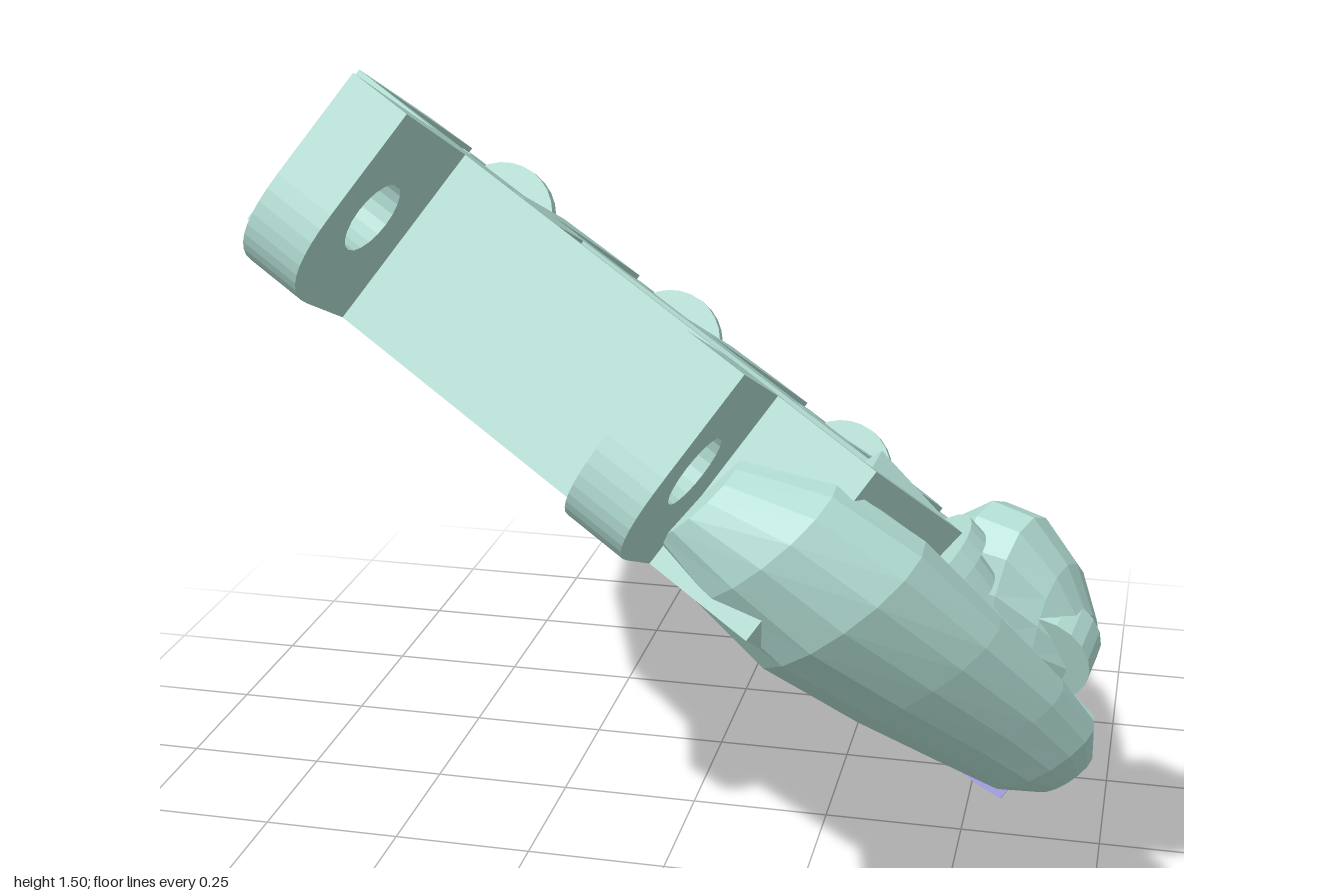
import * as THREE from 'three';

const shell = new THREE.MeshStandardMaterial({ color: 0xb2ddd3 });
shell.name = 'mint shell';
shell.flatShading = true;
const pad = new THREE.MeshStandardMaterial({ color: 0x9a94d8 });
pad.name = 'violet pad';
pad.flatShading = true;

const V3 = (a) => new THREE.Vector3(...a);
const BOTTOM = 0.42, TOP = 0.725, PIN = 0.555;

function add(parent, name, geometry, material = shell) {
  const mesh = new THREE.Mesh(geometry, material);
  mesh.name = name;
  parent.add(mesh);
  return mesh;
}

const polygon = (points) => new THREE.Shape(points.map((p) => new THREE.Vector2(...p)));

function circleHole(x, y, r) {
  const hole = new THREE.Path();
  hole.absarc(x, y, r, 0, Math.PI * 2, true);
  return hole;
}

// Extrudes a side profile (length, height) across the palm width, centred on u
function sidePlate(shape, u, thickness, bevel = 0) {
  const depth = thickness - 2 * bevel;
  const geometry = new THREE.ExtrudeGeometry(shape, {
    depth, curveSegments: 10, bevelEnabled: bevel > 0,
    bevelSize: bevel, bevelThickness: bevel, bevelOffset: -bevel, bevelSegments: 2,
  });
  geometry.translate(0, 0, -depth / 2);
  geometry.applyMatrix4(new THREE.Matrix4().makeBasis(V3([0, 1, 0]), V3([0, 0, 1]), V3([1, 0, 0])));
  return geometry.translate(u, 0, 0);
}

// Lofts ellipses [centre, radius along p, radius along q] into a closed shell
function loft(sections, p, q, sides = 16) {
  const pos = [], index = [];
  sections.forEach(([c, a, b]) => {
    for (let j = 0; j < sides; j++) {
      const t = (j / sides) * Math.PI * 2;
      pos.push(...V3(c).addScaledVector(p, a * Math.cos(t)).addScaledVector(q, b * Math.sin(t)).toArray());
    }
  });
  const last = sections.length - 1;
  for (let i = 0; i < last; i++) {
    for (let j = 0; j < sides; j++) {
      const k = (j + 1) % sides, lo = i * sides, hi = lo + sides;
      index.push(lo + j, lo + k, hi + j, lo + k, hi + k, hi + j);
    }
  }
  for (let j = 1; j < sides - 1; j++) {
    index.push(0, j + 1, j, last * sides, last * sides + j, last * sides + j + 1);
  }
  const geometry = new THREE.BufferGeometry();
  geometry.setAttribute('position', new THREE.Float32BufferAttribute(pos, 3));
  geometry.setIndex(index);
  geometry.computeVertexNormals();
  return geometry;
}

// Fork cheek: tall at the palm, rounded around the pin
function cheekShape(v, reach, back) {
  const r = 0.105, s = new THREE.Shape();
  s.moveTo(v - back, BOTTOM + 0.01);
  s.lineTo(v - 0.16, BOTTOM + 0.01);
  s.lineTo(v + reach, PIN - r);
  s.absarc(v + reach, PIN, r, -Math.PI / 2, Math.PI * 0.42, false);
  s.quadraticCurveTo(v - 0.06, 0.69, v - 0.16, TOP - 0.01);
  s.lineTo(v - back, TOP - 0.01);
  s.holes.push(circleHole(v + reach, PIN, 0.028));
  return s;
}

function washerShape(v) {
  const s = new THREE.Shape();
  s.absarc(v, PIN, 0.085, 0, Math.PI * 2, false);
  s.holes.push(circleHole(v, PIN, 0.032));
  return s;
}

function knuckle(palm, name, u, hubV) {
  const g = new THREE.Group();
  g.name = name;
  palm.add(g);
  const pinV = hubV + 0.215;
  for (const [side, reach, back] of [[-1, 0.01, 0.32], [1, -0.015, 0.2]]) {
    add(g, 'forkCheek', sidePlate(cheekShape(pinV, reach, back), u + side * 0.105, 0.095, 0.024));
    add(g, 'pinWasher', sidePlate(washerShape(pinV + reach), u + side * 0.053, 0.02));
  }
  // Hub disc, its seat, and the sloping drive block that floors the slot end
  add(g, 'hubDisc', new THREE.CylinderGeometry(0.105, 0.105, 0.03, 28)).position.set(u + 0.015, hubV - 0.01, 0.655);
  add(g, 'hubSeat', new THREE.CylinderGeometry(0.075, 0.09, 0.06, 20)).position.set(u + 0.015, hubV + 0.02, 0.63);
  add(g, 'driveBlock', sidePlate(polygon([[hubV - 0.24, BOTTOM], [hubV + 0.03, BOTTOM], [hubV + 0.03, 0.62],
    [hubV - 0.04, 0.64], [hubV - 0.1, 0.56], [hubV - 0.24, 0.46]]), u + 0.01, 0.24));
}

// Comb-shaped palm frame with finger slots, a thumb well and screw holes
function buildPalm(palm) {
  const outline = polygon([[-1.08, -0.785], [-0.857, -0.92], [-0.85, -1.04], [0.03, -1.04], [0.2, -0.52],
    [0.26, 0.1], [0.25, 0.26], [0.22, 0.26],
    [0.175, -0.5], [-0.125, -0.44], [0.0, 0.24], [-0.03, 0.36], [-0.115, 0.4],
    [-0.145, -0.34], [-0.445, -0.36], [-0.37, 0.4], [-0.44, 0.36], [-0.5, 0.22], [-0.52, 0.18],
    [-0.46, -0.5], [-0.745, -0.534], [-0.765, 0.2], [-0.82, 0.16], [-0.9, 0],
    [-0.743, -0.73], [-1.055, -0.78], [-1.13, -0.02], [-1.14, -0.02], [-1.17, -0.2]]);
  const well = [[-0.63, -0.69], [0.13, -0.55], [0.0, -1.0], [-0.58, -1.0]];
  outline.holes.push(new THREE.Path(well.map((p) => new THREE.Vector2(...p))));
  [[-0.69, -0.6], [-0.22, -0.5], [-0.69, -0.93]].forEach(([x, y]) => outline.holes.push(circleHole(x, y, 0.018)));
  add(palm, 'palmFrame', new THREE.ExtrudeGeometry(outline, { depth: TOP - BOTTOM, bevelEnabled: false, curveSegments: 6 }))
    .position.z = BOTTOM;

  // Small clips on the slot walls
  [[-0.83, -0.46], [-0.495, -0.22], [-0.142, -0.05], [0.185, -0.22]].forEach(([x, y]) =>
    add(palm, 'slotClip', new THREE.BoxGeometry(0.03, 0.07, 0.04)).position.set(x, y, 0.57));

  // Wrist lugs with a cross hole and a rounded lower corner
  for (const u of [-0.8, -0.2]) {
    const s = new THREE.Shape();
    s.moveTo(-0.98, TOP);
    s.lineTo(-1.315, TOP);
    s.lineTo(-1.315, 0.55);
    s.quadraticCurveTo(-1.315, BOTTOM, -1.19, BOTTOM);
    s.lineTo(-0.98, BOTTOM);
    s.holes.push(circleHole(-1.185, 0.575, 0.058));
    add(palm, 'wristLug', sidePlate(s, u, 0.1));
  }

  [['outerFinger', -1.025, 0.03], ['ringFinger', -0.655, 0.25], ['middleFinger', -0.25, 0.457], ['indexFinger', 0.11, 0.3]]
    .forEach(([name, u, v]) => knuckle(palm, name, u, v));

  // Webs filling the steps between neighbouring fingers
  [[-0.84, 0.1], [-0.45, 0.32], [-0.07, 0.42]].forEach(([u, v]) =>
    add(palm, 'fingerWeb', new THREE.BoxGeometry(0.1, 0.22, 0.2)).position.set(u, v, 0.56));

  // Violet stop plate under the thumb, with a curved lower edge
  const s = new THREE.Shape();
  s.moveTo(-0.1, 0.02);
  s.quadraticCurveTo(0, -0.02, 0.105, 0);
  s.lineTo(0.105, 0.125);
  s.lineTo(-0.1, 0.125);
  const plate = new THREE.ExtrudeGeometry(s, { depth: 0.04, bevelEnabled: false, curveSegments: 5 });
  plate.applyMatrix4(new THREE.Matrix4().makeBasis(V3([1, 0, 0]), V3([0, 0, 1]), V3([0, -1, 0])));
  add(palm, 'stopPlate', plate, pad).position.set(0.335, -0.465, 0.42);
}

// Thumb mount: two smooth lobes, a hub and its drive block
function buildThumb(thumb) {
  const d = V3([0.67, -0.74, -0.1]).normalize();
  const p = V3([0.1, -0.58, 0.81]);
  p.addScaledVector(d, -p.dot(d)).normalize();
  const q = d.clone().cross(p);
  add(thumb, 'frontLobe', loft([
    [[0.16, 0.9, 0.71], 0.09, 0.09], [[0.26, 0.84, 0.71], 0.12, 0.15], [[0.37, 0.74, 0.69], 0.12, 0.175],
    [[0.49, 0.62, 0.63], 0.095, 0.16], [[0.6, 0.51, 0.56], 0.075, 0.135], [[0.665, 0.44, 0.515], 0.065, 0.11],
    [[0.7, 0.4, 0.49], 0.04, 0.06]], p, q));

  // The rear lobe grows out of the palm's side wall
  const sideAxis = V3([0.85, -0.15, 0.3]).normalize();
  const across = V3([0.05, 0.8, 0.5]);
  across.addScaledVector(sideAxis, -across.dot(sideAxis)).normalize();
  add(thumb, 'rearLobe', loft([
    [[0.46, 0.52, 0.17], 0.2, 0.1], [[0.54, 0.55, 0.21], 0.235, 0.135], [[0.61, 0.56, 0.25], 0.21, 0.125],
    [[0.67, 0.54, 0.28], 0.15, 0.1], [[0.71, 0.52, 0.31], 0.08, 0.06],
  ], across, sideAxis.clone().cross(across)));

  const along = new THREE.Quaternion().setFromRotationMatrix(new THREE.Matrix4().makeBasis(q, d, p));
  const placed = (name, geometry, at) => {
    const mesh = add(thumb, name, geometry);
    mesh.position.set(...at);
    mesh.quaternion.copy(along);
    return mesh;
  };
  placed('thumbHub', new THREE.CylinderGeometry(0.115, 0.115, 0.035, 28), [0.46, 0.68, 0.41]);
  placed('thumbHubSeat', new THREE.CylinderGeometry(0.09, 0.1, 0.08, 20), [0.48, 0.65, 0.41]);
  placed('thumbDriveBlock', new THREE.BoxGeometry(0.17, 0.17, 0.2), [0.36, 0.72, 0.42]);

  // Inner bearing faces of the two lobes
  placed('frontBracket', new THREE.BoxGeometry(0.13, 0.24, 0.05), [0.61, 0.53, 0.48]);
  placed('rearBoss', new THREE.CylinderGeometry(0.085, 0.085, 0.07, 20), [0.65, 0.54, 0.33])
    .quaternion.setFromUnitVectors(V3([0, 1, 0]), p);
}

export function createModel() {
  const model = new THREE.Group();
  model.name = 'mechanicalPalm';

  // The palm is built flat (width, length, thickness), then tilted into place
  const palm = new THREE.Group();
  palm.name = 'palm';
  const u = V3([0.837, -0.502, 0.218]).normalize();
  const v = V3([0, -0.401, -0.916]);
  v.addScaledVector(u, -v.dot(u)).normalize();
  palm.quaternion.setFromRotationMatrix(new THREE.Matrix4().makeBasis(u, v, u.clone().cross(v)));
  buildPalm(palm);
  model.add(palm);

  const thumb = new THREE.Group();
  thumb.name = 'thumbMount';
  buildThumb(thumb);
  model.add(thumb);
  return model;
}
